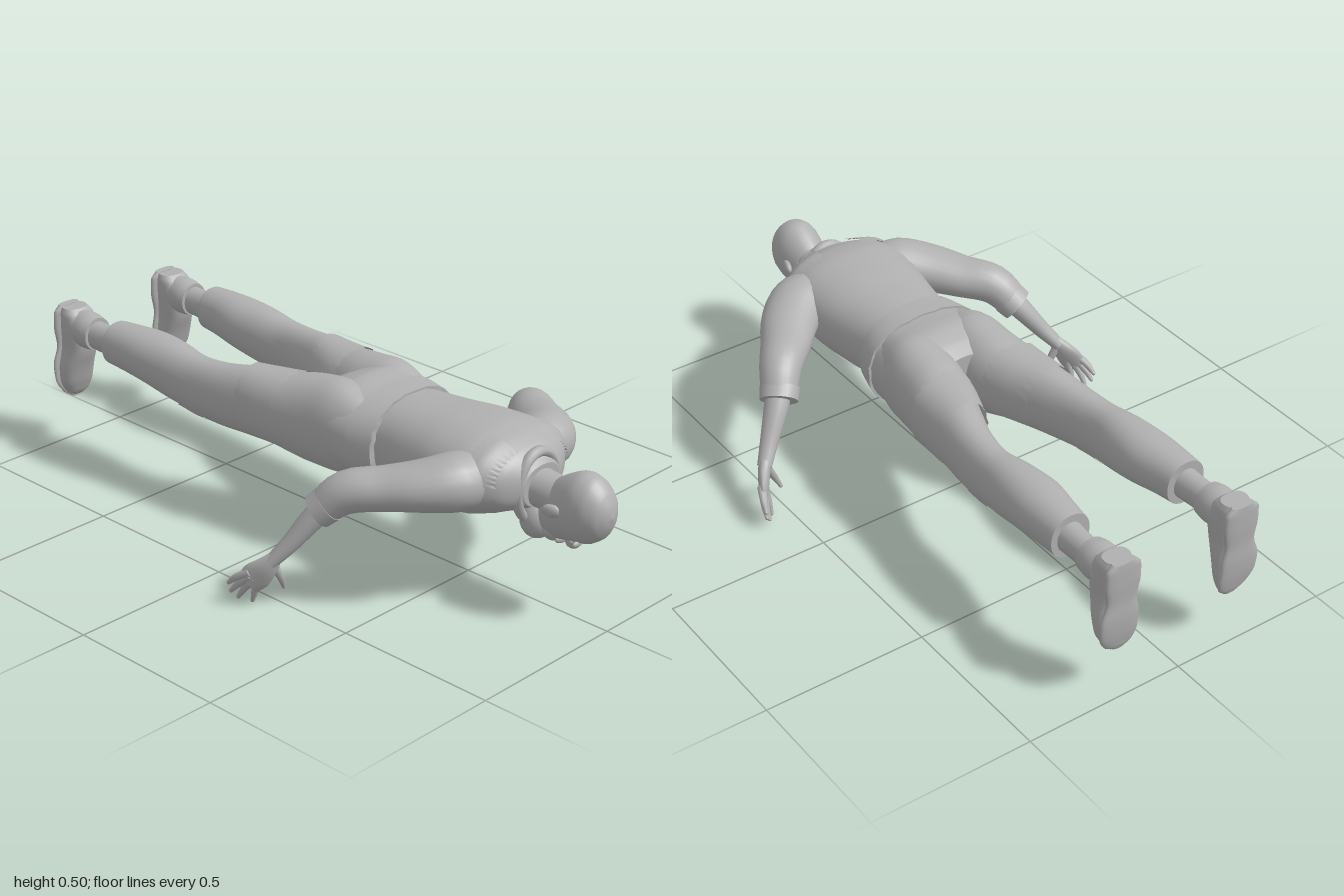
import * as THREE from 'three';

const grey = new THREE.MeshStandardMaterial({ color: 0xb0b0b0, side: THREE.DoubleSide });
grey.name = 'plainGrey';

// Smooth loft through stations [x, y, z, sideRadius, upRadius]
function loft(stations, { up = [0, 1, 0], dir = null, a0 = 0, a1 = Math.PI * 2, n = 28, steps = 4, jag = 0, square = 1 } = {}) {
  const centres = new THREE.CatmullRomCurve3(stations.map(s => new THREE.Vector3(s[0], s[1], s[2])));
  const radii = new THREE.CatmullRomCurve3(stations.map(s => new THREE.Vector3(s[3], s[4], 0)));
  const rows = (stations.length - 1) * steps, closed = a1 - a0 > 6.28;
  const pos = [], idx = [], cols = closed ? n : n + 1;
  const upV = new THREE.Vector3(...up);
  const ring = i => {
    const c = centres.getPoint(i / rows), r = radii.getPoint(i / rows);
    const t = dir ? new THREE.Vector3(...dir) : centres.getTangent(i / rows);
    const s = upV.clone().cross(t).normalize(), u = t.clone().cross(s);
    const pow = v => Math.sign(v) * Math.abs(v) ** square;
    for (let j = 0; j < cols; j++) {
      const a = a0 + (a1 - a0) * j / n;
      const p = c.clone().addScaledVector(s, pow(Math.cos(a)) * r.x).addScaledVector(u, pow(Math.sin(a)) * r.y);
      if (jag && (i === 0 || i === rows)) p.addScaledVector(t, jag * Math.sin(j * 2.4));
      pos.push(p.x, p.y, p.z);
    }
    return c;
  };
  for (let i = 0; i <= rows; i++) ring(i);
  for (let i = 0; i < rows; i++) for (let j = 0; j < n; j++) {
    const k = (j + 1) % cols, a = i * cols + j, b = i * cols + k;
    idx.push(a, b, b + cols, a, b + cols, a + cols);
  }
  // Flat end caps with their own vertices
  if (closed) for (const i of [0, rows]) {
    const base = pos.length / 3, c = ring(i), mid = pos.length / 3;
    pos.push(c.x, c.y, c.z);
    for (let j = 0; j < n; j++) {
      const a = base + j, b = base + (j + 1) % n;
      i ? idx.push(mid, a, b) : idx.push(mid, b, a);
    }
  }
  const g = new THREE.BufferGeometry();
  g.setAttribute('position', new THREE.Float32BufferAttribute(pos, 3));
  g.setIndex(idx);
  g.computeVertexNormals();
  return g;
}

export function createModel() {
  const root = new THREE.Group();
  root.name = 'lyingFigure';
  const add = (name, geo, parent = root) => {
    const m = new THREE.Mesh(geo, grey);
    m.name = name;
    parent.add(m);
    return m;
  };
  const ball = (name, p, r, parent = root) => {
    const m = add(name, new THREE.SphereGeometry(1, 20, 14), parent);
    m.position.set(...p);
    m.scale.set(...r);
    return m;
  };
  const alongZ = { dir: [0, 0, 1] };
  const backZ = { dir: [0, 0, -1] };

  // Shirt, trousers and waistband
  const torso = [[0, .355, .2, .155, .125], [0, .355, .3, .16, .13], [0, .355, .4, .175, .135], [0, .36, .5, .193, .137],
    [0, .37, .6, .2, .128], [0, .375, .67, .185, .108], [0, .372, .72, .14, .085], [0, .36, .755, .075, .06]];
  add('shirt', loft(torso, { ...alongZ, n: 40, square: .88 }));
  add('hips', loft([[0, .352, .275, .174, .134], [0, .352, .2, .192, .136], [0, .36, .12, .2, .138],
    [0, .355, .05, .17, .125], [0, .355, 0, .09, .1]], { ...backZ, n: 40, square: .85 }));
  add('waistband', loft([[0, .352, .28, .178, .138], [0, .352, .24, .19, .14], [0, .352, .2, .2, .142]],
    { ...backZ, n: 48, square: .85, jag: .003 }));

  // Neck, head and face
  add('neck', loft([[0, .355, .7, .065, .065], [0, .35, .77, .056, .055], [0, .34, .84, .055, .06]], alongZ));
  add('head', loft([[0, .3, .765, .02, .03], [0, .305, .785, .047, .07], [0, .315, .82, .06, .092], [0, .332, .86, .07, .1],
    [0, .343, .9, .076, .105], [0, .345, .94, .072, .096], [0, .343, .975, .053, .068],
    [0, .342, .993, .027, .034], [0, .342, 1, .003, .004]], alongZ));
  ball('beard', [0, .262, .748], [.058, .062, .05]);
  ball('jaw', [0, .25, .81], [.045, .035, .035]);
  ball('nose', [0, .228, .868], [.016, .02, .024]);
  ball('moustache', [0, .232, .838], [.036, .015, .012]);
  for (const s of [1, -1]) {
    ball('eye', [s * .03, .25, .892], [.014, .01, .009]);
    ball('brow', [s * .032, .25, .912], [.022, .01, .007]);
    ball('ear', [s * .074, .34, .85], [.012, .019, .029]).rotation.y = s * -.3;
  }
  const collar = add('collar', new THREE.TorusGeometry(.08, .012, 10, 40));
  collar.position.set(0, .352, .735);
  collar.scale.set(1, 1.25, 1.5);

  // Ragged shoulder patches and torn chest pieces
  const yoke = [[0, .373, .63, .2, .126], [0, .378, .67, .192, .114], [0, .376, .715, .152, .092]];
  for (const s of [1, -1]) {
    const [a0, a1] = s > 0 ? [.1, 1.25] : [Math.PI - 1.25, Math.PI - .1];
    add('shoulderPatch', loft(yoke, { ...alongZ, a0, a1, n: 24, jag: .006, square: .88 }));
    const [b0, b1] = s > 0 ? [-1.35, -.75] : [Math.PI + .75, Math.PI + 1.35];
    add('chestPatch', loft([[0, .355, .39, .181, .139], [0, .36, .46, .193, .141], [0, .364, .53, .203, .14]],
      { ...alongZ, a0: b0, a1: b1, n: 18, jag: .007, square: .88 }));
  }

  for (const s of [1, -1]) {
    const side = list => list.map(([x, ...r]) => [s * x, ...r]);
    const arm = new THREE.Group(), leg = new THREE.Group();
    arm.name = s > 0 ? 'leftArm' : 'rightArm';
    leg.name = s > 0 ? 'leftLeg' : 'rightLeg';
    root.add(arm, leg);

    // Sleeve, cuff and forearm
    add('sleeve', loft(side([[.1, .378, .625, .06, .07], [.18, .382, .605, .09, .082], [.25, .375, .55, .087, .07],
      [.32, .362, .465, .075, .06], [.385, .348, .39, .063, .06], [.428, .292, .333, .053, .048]]), { n: 24 }));
    add('cuff', loft(side([[.413, .312, .352, .06, .053], [.432, .287, .328, .057, .051]]), { n: 24 }));
    add('forearm', loft(side([[.41, .318, .355, .04, .036], [.45, .262, .32, .036, .032],
      [.5, .19, .282, .027, .025], [.538, .14, .25, .022, .019]]), { n: 18 }));

    // Hand with spread fingers
    add('palm', loft(side([[.528, .155, .26, .02, .018], [.547, .122, .24, .034, .018],
      [.562, .095, .218, .042, .015], [.574, .072, .2, .036, .012]]), { up: [s * .78, .1, .62], n: 16 }));
    const fingers = [
      [[.532, .135, .25], [.505, .085, .255], [.487, .045, .25]],
      [[.557, .095, .226], [.556, .045, .207], [.555, .008, .195]],
      [[.567, .09, .213], [.577, .05, .186], [.58, .018, .165]],
      [[.573, .096, .207], [.588, .065, .175], [.595, .038, .152]],
      [[.575, .108, .207], [.592, .085, .17], [.599, .063, .147]]];
    fingers.forEach((f, i) => {
      const r = [.014, .0105, .006];
      add(i ? 'finger' : 'thumb', loft(side(f.map((p, k) => [...p, r[k], r[k]])), { up: [s * .8, .1, .6], n: 10 }), arm);
      ball('fingertip', [s * f[2][0], f[2][1], f[2][2]], [.006, .006, .006], arm);
    });

    // Trouser leg with ragged patches
    add('trouserLeg', loft(side([[.1, .355, .2, .08, .115], [.103, .362, .1, .1, .139], [.108, .358, 0, .105, .132],
      [.13, .36, -.1, .096, .112], [.153, .36, -.2, .078, .106], [.175, .356, -.3, .066, .097], [.187, .36, -.4, .061, .09],
      [.187, .375, -.5, .073, .088], [.187, .388, -.6, .08, .08], [.194, .393, -.7, .07, .072],
      [.197, .393, -.76, .064, .068]]), { ...backZ, square: .93 }), leg);
    add('thighPatch', loft(side([[.123, .362, -.06, .108, .118], [.133, .362, -.12, .1, .114], [.152, .362, -.21, .083, .111]]),
      { ...backZ, a0: -.6, a1: Math.PI + .6, n: 36, jag: .005, square: .9 }), leg);
    add('kneePatch', loft(side([[.183, .357, -.35, .066, .096], [.187, .36, -.4, .066, .095], [.187, .368, -.45, .071, .094]]),
      { ...backZ, a0: Math.PI + .5, a1: Math.PI * 2 - .5, n: 24, jag: .009 }), leg);

    // Ankle and shoe, toes pointing down
    add('ankle', loft(side([[.197, .39, -.72, .045, .05], [.2, .39, -.82, .039, .045], [.2, .395, -.92, .042, .045]]), backZ), leg);
    add('shoeCollar', loft(side([[.2, .395, -.85, .05, .052], [.2, .397, -.885, .055, .058], [.2, .397, -.92, .052, .058]]), backZ), leg);
    const down = { dir: [0, -1, 0], up: [0, 0, 1], n: 24, square: .8 };
    add('shoeUpper', loft(side([[.2, .46, -.955, .04, .03], [.2, .44, -.945, .05, .043], [.2, .39, -.937, .053, .052],
      [.201, .33, -.94, .051, .05], [.204, .27, -.952, .057, .04], [.202, .215, -.96, .056, .03],
      [.195, .175, -.967, .04, .019], [.192, .16, -.97, .018, .008]]), down), leg);
    add('shoeSole', loft(side([[.2, .462, -.985, .035, .014], [.2, .44, -.986, .056, .014], [.2, .39, -.986, .058, .014],
      [.201, .33, -.985, .05, .012], [.205, .27, -.986, .063, .012], [.203, .215, -.982, .062, .011],
      [.196, .175, -.975, .046, .01], [.192, .155, -.97, .02, .008]]), down), leg);
  }

  // Group the arm pieces under their arms
  for (const m of [...root.children]) {
    if (!['sleeve', 'cuff', 'forearm', 'palm'].includes(m.name)) continue;
    m.geometry.computeBoundingSphere();
    root.getObjectByName(m.geometry.boundingSphere.center.x > 0 ? 'leftArm' : 'rightArm').add(m);
  }
  return root;
}
